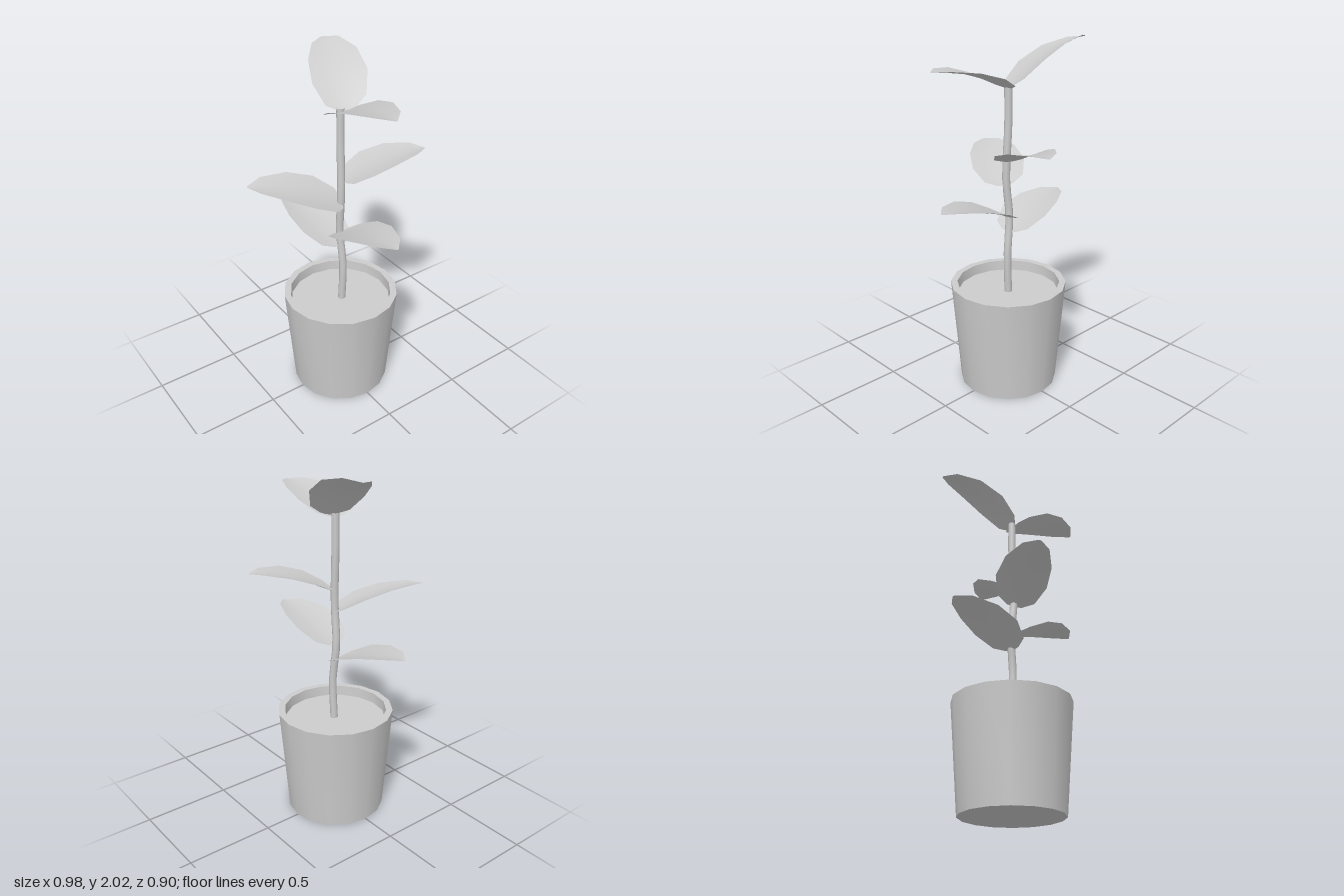
import * as THREE from 'three';
import { toCreasedNormals } from 'three/addons/utils/BufferGeometryUtils.js';

const grey = new THREE.MeshStandardMaterial({ color: 0xcccccc });
const leafGrey = new THREE.MeshStandardMaterial({ color: 0xcccccc, side: THREE.DoubleSide });

// Leaf outline and arch: [distance along leaf, half width, share of the rise]
const STATIONS = [
  [0, 0.045, 0], [0.07, 0.11, 0.1], [0.29, 0.15, 0.46],
  [0.58, 0.133, 0.79], [0.86, 0.075, 0.97], [1, 0.006, 1],
];
const COLUMNS = [-1, -0.5, 0, 0.5, 1];

// Cupped leaf blade from base to tip; roll lifts one edge
function leafGeometry(base, tip, roll) {
  const run = new THREE.Vector3(tip[0] - base[0], 0, tip[2] - base[2]);
  const side = new THREE.Vector3(-run.z, 0, run.x).normalize();
  const positions = [], index = [];
  STATIONS.forEach(([t, half, rise], row) => {
    for (const u of COLUMNS) {
      const w = u * half;
      const cup = 0.022 * u * u * half / 0.15;
      positions.push(
        base[0] + run.x * t + side.x * w,
        base[1] + (tip[1] - base[1]) * rise + cup + roll * w / 0.15,
        base[2] + run.z * t + side.z * w,
      );
    }
    if (row === 0) return;
    const n = COLUMNS.length;
    for (let c = 0; c < n - 1; c++) {
      const a = (row - 1) * n + c, b = row * n + c;
      index.push(a, a + 1, b, a + 1, b + 1, b);
    }
  });
  const geometry = new THREE.BufferGeometry();
  geometry.setAttribute('position', new THREE.Float32BufferAttribute(positions, 3));
  geometry.setIndex(index);
  geometry.computeVertexNormals();
  return geometry;
}

export function createModel() {
  const plant = new THREE.Group();
  plant.name = 'pottedPlant';
  const add = (name, geometry, material = grey) => {
    const mesh = new THREE.Mesh(geometry, material);
    mesh.name = name;
    plant.add(mesh);
    return mesh;
  };

  // Tapered pot with a thick rim
  const profile = [[0, 0], [0.285, 0], [0.335, 0.62], [0.297, 0.62], [0.292, 0.54]];
  const pot = new THREE.LatheGeometry(profile.map(([r, y]) => new THREE.Vector2(r, y)), 16);
  add('pot', toCreasedNormals(pot, 0.6));

  // Soil disc inside the rim
  const soil = add('soil', new THREE.CircleGeometry(0.293, 16).rotateX(-Math.PI / 2));
  soil.position.y = 0.56;

  // Gently wavering stem
  const path = new THREE.CatmullRomCurve3([
    [0.005, 0.55, -0.005], [0.014, 0.8, -0.008], [-0.008, 1.02, 0],
    [0.012, 1.24, 0.005], [0.008, 1.4, 0.002], [0, 1.55, 0], [0, 1.77, 0],
  ].map((p) => new THREE.Vector3(...p)));
  add('stem', new THREE.TubeGeometry(path, 14, 0.022, 8));

  // Leaves in alternating pairs up the stem: base, tip, roll
  const leaves = [
    ['lowerRightLeaf', [0, 0.93, 0], [-0.49, 1.065, 0.07], 0],
    ['lowerLeftLeaf', [0, 1.02, 0], [0.49, 1.16, -0.01], 0],
    ['frontLeaf', [0.02, 1.21, 0], [-0.225, 1.35, 0.45], 0.02],
    ['backLeaf', [0, 1.345, -0.015], [0.16, 1.48, -0.45], 0],
    ['upperLeftLeaf', [-0.002, 1.745, 0.015], [0.49, 1.88, 0.035], 0],
    ['upperRightLeaf', [0.025, 1.76, -0.03], [-0.415, 2, -0.17], 0.025],
  ];
  for (const [name, base, tip, roll] of leaves) {
    add(name, leafGeometry(base, tip, roll), leafGrey);
  }
  return plant;
}
